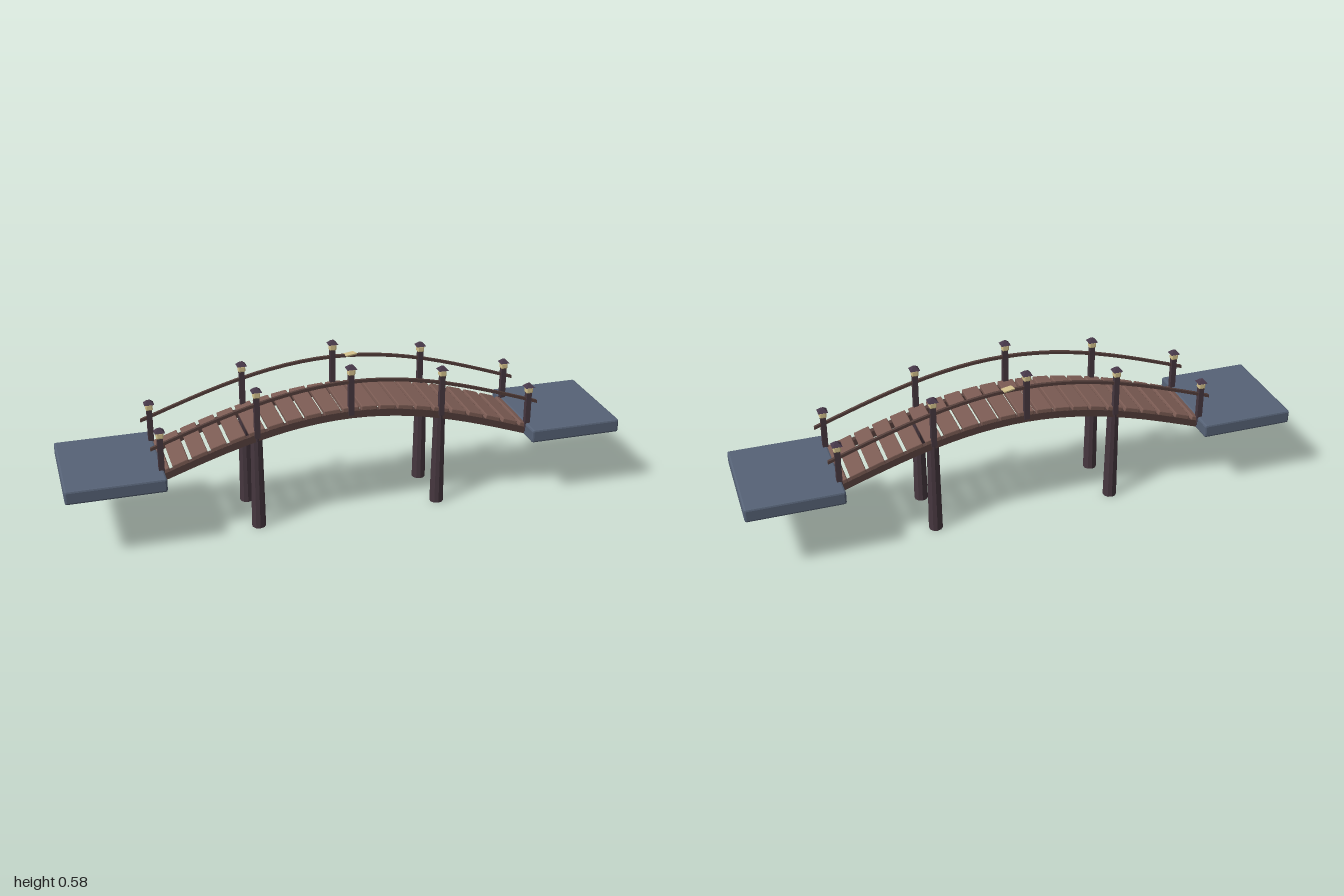
import * as THREE from 'three';
import { RoundedBoxGeometry } from 'three/addons/geometries/RoundedBoxGeometry.js';

const HALF = 2 / 3;   // half span between the end posts
const RISE = 0.15;    // height of the arch
const SIDE = 0.117;   // z of posts and rails

const arch = (x) => RISE * Math.cos((Math.PI * x) / (2 * HALF));
const slope = (x) => -RISE * (Math.PI / (2 * HALF)) * Math.sin((Math.PI * x) / (2 * HALF));

function material(name, color) {
  const m = new THREE.MeshStandardMaterial({ color, flatShading: true });
  m.name = name;
  return m;
}

export function createModel() {
  const mats = {
    stone: material('slate stone', 0x566276),
    plank: material('plank brown', 0x7c5c54),
    beam: material('beam brown', 0x533e3a),
    post: material('dark plum wood', 0x46373f),
    roof: material('lantern roof plum', 0x48394a),
    lamp: material('lantern cream', 0xd6c48e),
  };
  const model = new THREE.Group();
  model.name = 'archedFootbridge';

  function add(name, geometry, mat, x, y, z, parent = model) {
    const mesh = new THREE.Mesh(geometry, mat);
    mesh.name = name;
    mesh.position.set(x, y, z);
    parent.add(mesh);
    return mesh;
  }

  // Beam that follows the arch: side outline extruded across its width
  function archBeam(end, centreY, height, width) {
    const n = 24, top = [], bottom = [];
    for (let i = 0; i <= n; i++) {
      const x = -end + (2 * end * i) / n;
      const y = centreY + arch(x);
      top.push(new THREE.Vector2(x, y + height / 2));
      bottom.unshift(new THREE.Vector2(x, y - height / 2));
    }
    const geo = new THREE.ExtrudeGeometry(new THREE.Shape([...bottom, ...top]), {
      depth: width, bevelEnabled: false,
    });
    return geo.translate(0, 0, -width / 2);
  }

  // Stone landings
  const slabGeo = new RoundedBoxGeometry(0.341, 0.05, 0.386, 1, 0.007);
  for (const s of [1, -1]) {
    add(s > 0 ? 'leftLanding' : 'rightLanding', slabGeo, mats.stone, s * 0.8295, 0.255, 0);
  }

  // Deck planks, each tilted along the arch
  const plankGeo = new RoundedBoxGeometry(0.058, 0.018, 0.238, 1, 0.003);
  for (let i = -10; i <= 10; i++) {
    const x = (i / 10) * HALF;
    const plank = add('plank', plankGeo, mats.plank, x, 0.266 + arch(x), 0);
    plank.rotation.z = Math.atan(slope(x));
  }

  // Side beams and handrails
  const stringerGeo = archBeam(HALF, 0.246, 0.026, 0.02);
  const railGeo = archBeam(0.7, 0.371, 0.011, 0.01);
  for (const s of [1, -1]) {
    add('sideBeam', stringerGeo, mats.beam, 0, 0, s * 0.109);
    add('handrail', railGeo, mats.beam, 0, 0, s * SIDE);
  }

  // Lantern posts
  const postGeo = new THREE.BoxGeometry(0.019, 0.152, 0.019);
  const lampGeo = new RoundedBoxGeometry(0.025, 0.023, 0.025, 1, 0.004);
  const roofGeo = new THREE.CylinderGeometry(0.005 * Math.SQRT2, 0.0175 * Math.SQRT2, 0.013, 4)
    .rotateY(Math.PI / 4);
  for (let i = -2; i <= 2; i++) {
    for (const s of [1, -1]) {
      const x = (i / 2) * HALF;
      const post = new THREE.Group();
      post.name = 'lanternPost';
      post.position.set(x, 0.26 + arch(x), s * SIDE);
      add('postShaft', postGeo, mats.post, 0, 0.063, 0, post);
      add('lantern', lampGeo, mats.lamp, 0, 0.149, 0, post);
      add('lanternRoof', roofGeo, mats.roof, 0, 0.167, 0, post);
      model.add(post);
    }
  }

  // Tapered piles in the water
  const pileGeo = new THREE.CylinderGeometry(0.0205, 0.025, 0.36, 10);
  for (const x of [-HALF / 2, HALF / 2]) {
    for (const z of [-0.1, 0.1]) add('pile', pileGeo, mats.post, x, 0.18, z);
  }

  // Small cream slip lying on the back rail
  const slip = add('railSlip', new THREE.BoxGeometry(0.042, 0.005, 0.026), mats.lamp, 0.066, 0.524, -0.116);
  slip.rotation.y = 0.3;

  return model;
}
